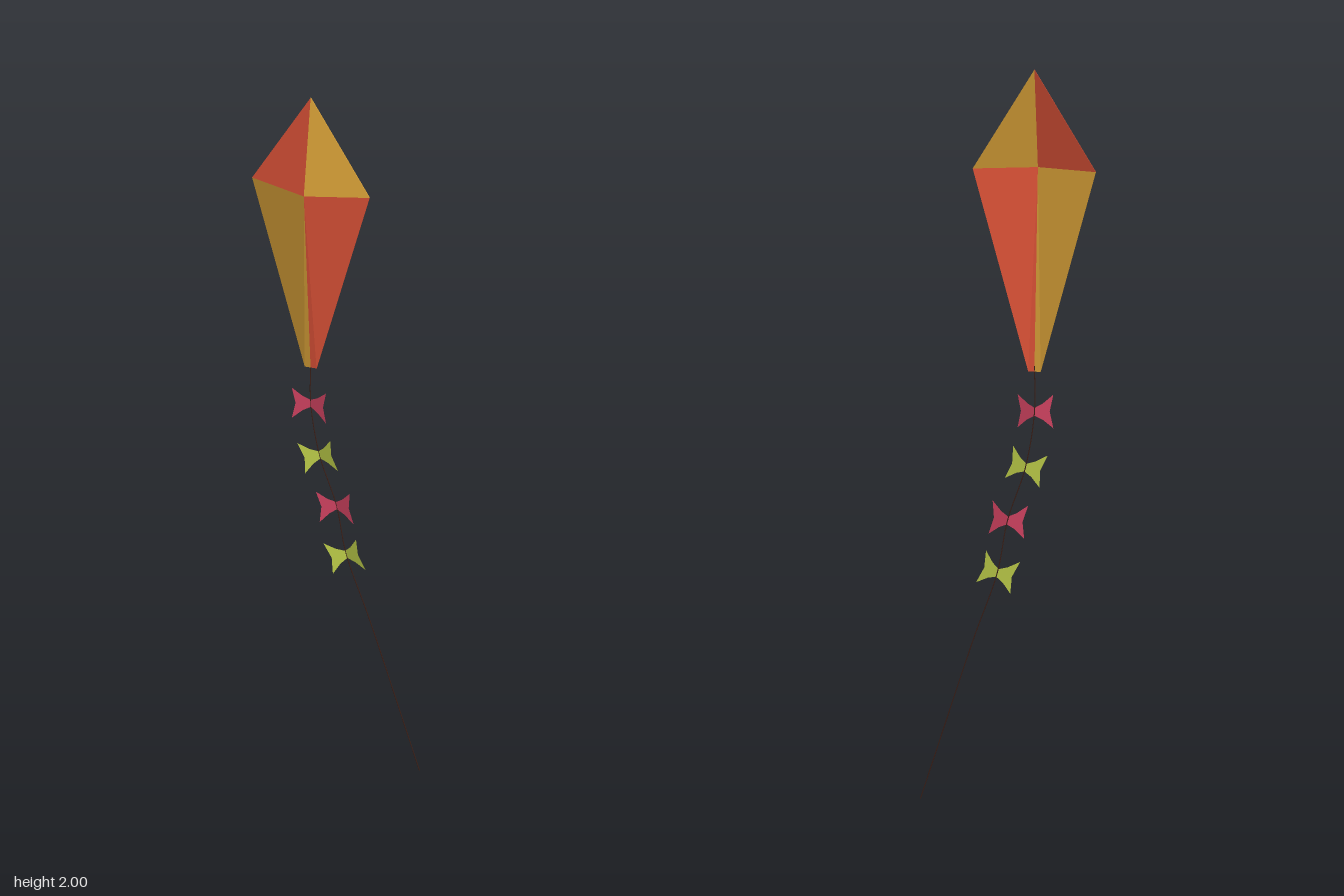
import * as THREE from 'three';

const mat = (name, color, double) => {
  const m = new THREE.MeshStandardMaterial({ color });
  m.name = name;
  if (double) m.side = THREE.DoubleSide;
  return m;
};

// Thin folded panel: first point is the hub, the others run counter-clockwise along the rim
function panelGeometry(points, thickness) {
  const pos = [];
  const back = points.map(([x, y, z]) => [x, y, z - thickness]);
  const tri = (a, b, c) => pos.push(...a, ...b, ...c);
  for (let i = 1; i < points.length - 1; i++) {
    tri(points[0], points[i], points[i + 1]);
    tri(back[0], back[i + 1], back[i]);
    tri(points[i], back[i], back[i + 1]);
    tri(points[i], back[i + 1], points[i + 1]);
  }
  const g = new THREE.BufferGeometry();
  g.setAttribute('position', new THREE.Float32BufferAttribute(pos, 3));
  g.computeVertexNormals();
  return g;
}

export function createModel() {
  const model = new THREE.Group();
  model.name = 'kite';
  const red = mat('red cloth', 0xd85036);
  const gold = mat('gold cloth', 0xd09a35);
  const pink = mat('pink ribbon', 0xcf4260, true);
  const lime = mat('lime ribbon', 0xbccb48, true);
  const dark = mat('dark string', 0x3c2018);

  // Sail: four panels folded forward to a central hub, open at the back
  const rim = -0.025;
  const hub = [-0.074, 1.725, 0.028];
  const top = [-0.074, 2, rim];
  const right = [-0.242, 1.725, rim];
  const left = [0.095, 1.725, rim];
  const footRight = [-0.091, 1.175, rim];
  const foot = [-0.074, 1.175, rim];
  const footLeft = [-0.057, 1.175, rim];
  const panels = [
    ['upperLeftPanel', gold, [hub, left, top]],
    ['upperRightPanel', red, [hub, top, right]],
    ['lowerRightPanel', gold, [hub, right, footRight, foot]],
    ['lowerLeftPanel', red, [hub, foot, footLeft, left]],
  ];
  for (const [name, material, points] of panels) {
    const mesh = new THREE.Mesh(panelGeometry(points, 0.003), material);
    mesh.name = name;
    model.add(mesh);
  }

  // Tail string running through the bows
  const bows = [
    [-0.074, 1.065, 0, pink],
    [-0.049, 0.912, 0.25, lime],
    [0.0, 0.766, 0.12, pink],
    [0.028, 0.622, 0.3, lime],
  ];
  const z = -0.0265;
  const path = new THREE.CatmullRomCurve3([
    new THREE.Vector3(-0.074, 1.19, z),
    ...bows.map(([x, y]) => new THREE.Vector3(x, y, z)),
    new THREE.Vector3(0.093, 0.44, z),
    new THREE.Vector3(0.238, 0, z),
  ]);
  const string = new THREE.Mesh(new THREE.TubeGeometry(path, 48, 0.0015, 5), dark);
  string.name = 'tailString';
  model.add(string);

  // Bows: two notched wings bent forward from the knot
  const outline = [[0, 0.011], [0.022, 0.022], [0.051, 0.046], [0.041, 0], [0.051, -0.046], [0.022, -0.022], [0, -0.011]];
  const wing = new THREE.ShapeGeometry(new THREE.Shape(outline.map(([x, y]) => new THREE.Vector2(x, y))));
  bows.forEach(([x, y, tilt, material], i) => {
    const bow = new THREE.Group();
    bow.name = 'bow' + (i + 1);
    for (const [side, turn] of [['leftWing', -0.28], ['rightWing', Math.PI + 0.28]]) {
      const mesh = new THREE.Mesh(wing, material);
      mesh.name = side;
      mesh.rotation.y = turn;
      bow.add(mesh);
    }
    bow.position.set(x, y, -0.026);
    bow.rotation.z = tilt;
    model.add(bow);
  });
  return model;
}
